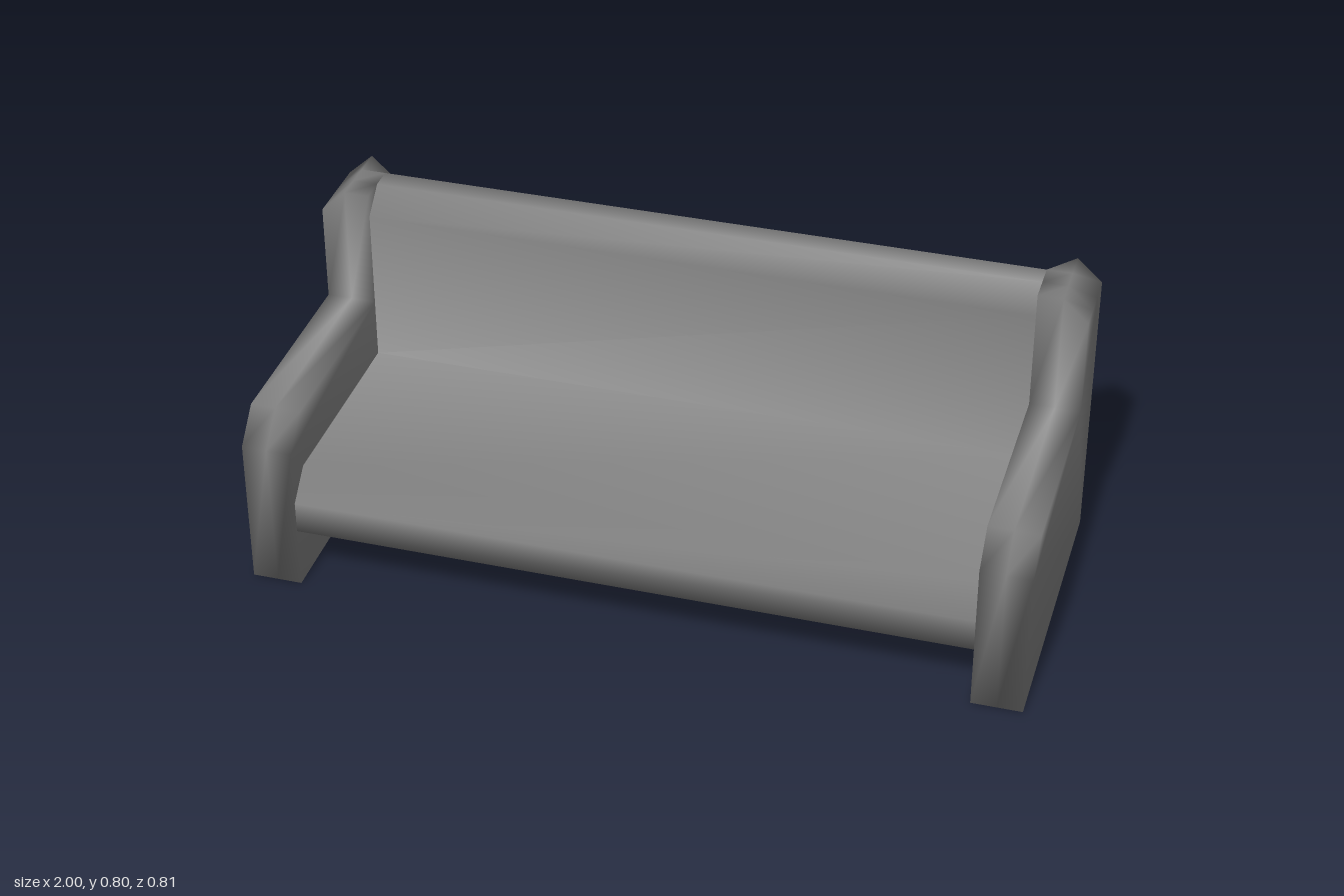
import * as THREE from 'three';

// Smooth closed solid through [z, y] cross-sections placed at increasing x.
function loft(sections) {
  const n = sections[0].points.length;
  const positions = [];
  const index = [];
  for (const { x, points } of sections) {
    for (const [z, y] of points) positions.push(x, y, z);
  }
  for (let s = 0; s < sections.length - 1; s++) {
    for (let i = 0; i < n; i++) {
      const a = s * n + i;
      const b = s * n + ((i + 1) % n);
      index.push(a, a + n, b + n, a, b + n, b);
    }
  }
  // End caps
  const cap = (s, flip) => {
    const contour = sections[s].points.map(([z, y]) => new THREE.Vector2(z, y));
    for (const [a, b, c] of THREE.ShapeUtils.triangulateShape(contour, [])) {
      const o = s * n;
      index.push(o + a, o + (flip ? c : b), o + (flip ? b : c));
    }
  };
  cap(0, false);
  cap(sections.length - 1, true);
  const geometry = new THREE.BufferGeometry();
  geometry.setAttribute('position', new THREE.Float32BufferAttribute(positions, 3));
  geometry.setIndex(index);
  geometry.computeVertexNormals();
  return geometry;
}

// L-shaped end panel outline; the three heights shape the top of the back post.
function panelProfile(frontY, topY, rearY) {
  return [
    [0.405, 0], [0.405, 0.4], [0.33, 0.48], [-0.205, 0.48],
    [-0.205, frontY], [-0.27, topY], [-0.33, topY], [-0.405, rearY],
    [-0.405, 0],
  ];
}

export function createModel() {
  const model = new THREE.Group();
  model.name = 'bench';
  const grey = new THREE.MeshStandardMaterial({ color: 0x808080 });
  grey.name = 'grey';

  const add = (name, geometry) => {
    const mesh = new THREE.Mesh(geometry, grey);
    mesh.name = name;
    model.add(mesh);
  };

  // Seat and backrest in one bevelled profile
  const seat = [
    [0.405, 0.165], [0.405, 0.25], [0.335, 0.32], [-0.205, 0.32],
    [-0.205, 0.74], [-0.27, 0.8], [-0.33, 0.8], [-0.405, 0.74],
    [-0.405, 0.165],
  ];
  add('seatAndBackrest', loft([-0.87, 0.87].map((x) => ({ x, points: seat }))));

  // End panels: armrest, leg and back post, with a bevelled outer top
  const panel = [
    { x: 0.87, points: panelProfile(0.8, 0.8, 0.74) },
    { x: 0.935, points: panelProfile(0.8, 0.8, 0.8) },
    { x: 1, points: panelProfile(0.74, 0.74, 0.74) },
  ];
  add('leftPanel', loft(panel));
  add('rightPanel', loft(panel.map(({ x, points }) => ({ x: -x, points })).reverse()));

  return model;
}
